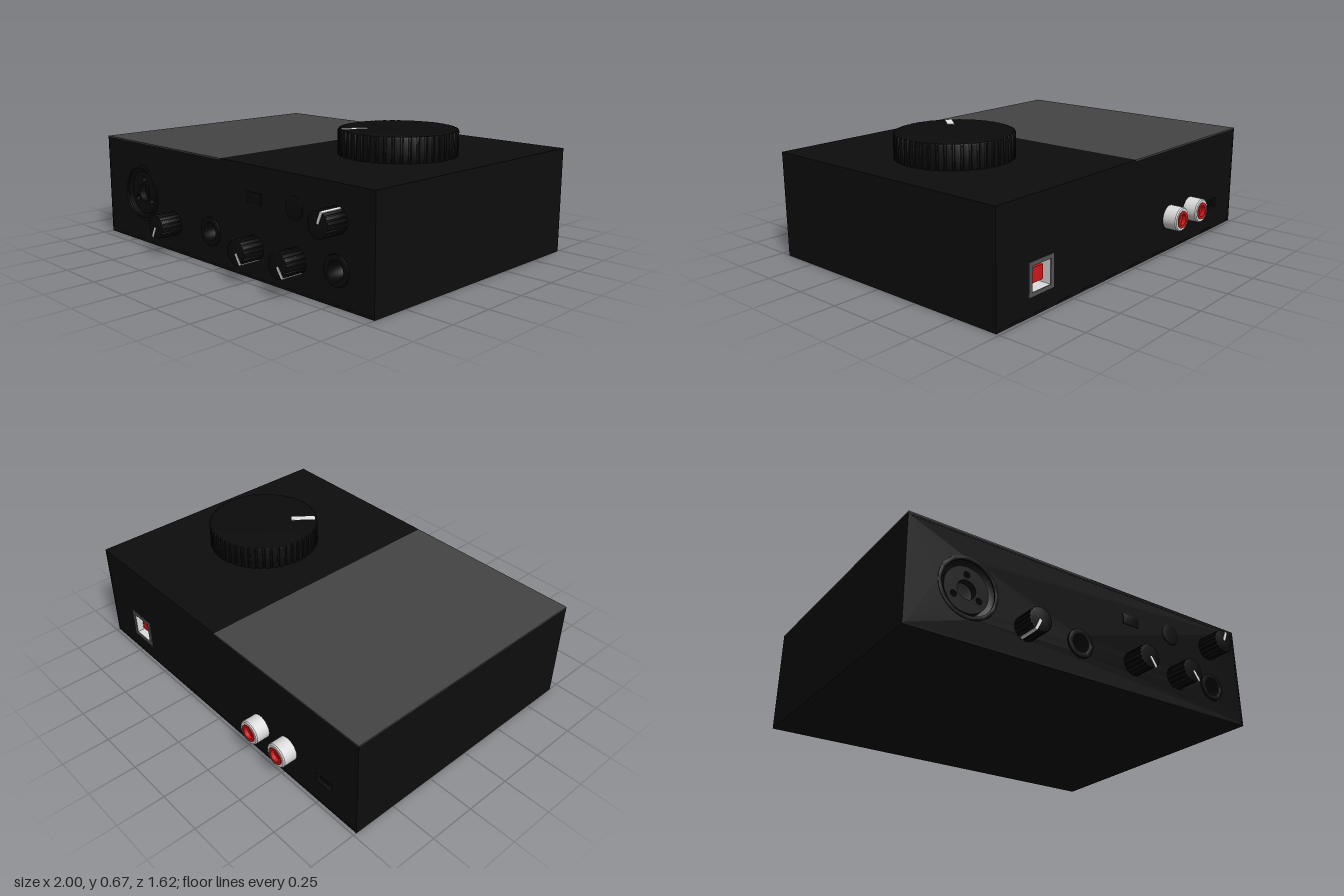
import * as THREE from 'three';
import { toCreasedNormals } from 'three/addons/utils/BufferGeometryUtils.js';

const FRONT = 0.693, BACK = -0.733, TOP = 0.545;

const mat = (name, color, side = THREE.FrontSide) => {
  const m = new THREE.MeshStandardMaterial({ color, side });
  m.name = name;
  return m;
};

function rectPath(Type, x, y, w, h) {
  const p = new Type();
  p.moveTo(x - w / 2, y - h / 2);
  p.lineTo(x + w / 2, y - h / 2);
  p.lineTo(x + w / 2, y + h / 2);
  p.lineTo(x - w / 2, y + h / 2);
  p.closePath();
  return p;
}

function circlePath(Type, x, y, r) {
  const p = new Type();
  p.absarc(x, y, r, 0, Math.PI * 2, false);
  return p;
}

function extrude(shape, depth, holes = [], bevel = 0) {
  shape.holes.push(...holes);
  const g = new THREE.ExtrudeGeometry(shape, {
    depth: depth - bevel, curveSegments: 24, bevelEnabled: bevel > 0,
    bevelThickness: bevel, bevelSize: bevel, bevelOffset: -bevel, bevelSegments: 2,
  });
  return toCreasedNormals(g, 0.6);
}

// Round grip with shallow vertical grooves, running along +z
function gripGeometry(r, ribs, groove, height, bevel) {
  const pts = [];
  for (let i = 0; i < ribs; i++) {
    [[0, r], [0.62, r], [0.7, r - groove], [0.92, r - groove]].forEach(([t, rad]) => {
      const a = ((i + t) / ribs) * Math.PI * 2;
      pts.push(new THREE.Vector2(Math.cos(a) * rad, Math.sin(a) * rad));
    });
  }
  return extrude(new THREE.Shape(pts), height, [], bevel);
}

export function createModel() {
  const black = mat('caseBlack', 0x0d0d0d);
  const knobBlack = mat('knobBlack', 0x0b0b0b);
  const recessBlack = mat('recessBlack', 0x060606, THREE.DoubleSide);
  const grey = mat('lidGrey', 0x444444);
  const white = mat('pointerWhite', 0xe6e6e6);
  const light = mat('connectorWhite', 0xdcdcdc);
  const frameGrey = mat('portFrameGrey', 0x555555);
  const red = mat('connectorRed', 0xd01818);

  const model = new THREE.Group();
  const add = (name, geo, material, x = 0, y = 0, z = 0, parent = model) => {
    const m = new THREE.Mesh(geo, material);
    m.name = name;
    m.position.set(x, y, z);
    parent.add(m);
    return m;
  };
  // Blind hole opening toward +z, or -z when dir is -1
  const cup = (name, x, y, z, r, depth, dir = 1) => {
    const pts = [[0, -depth], [r, -depth], [r, 0]].map(p => new THREE.Vector2(...p));
    const m = add(name, new THREE.LatheGeometry(pts, 32), recessBlack, x, y, z);
    m.rotation.x = dir * Math.PI / 2;
  };

  // Case: open sleeve, two-tone lid, front and back panels
  const lid = 0.006, wall = 0.012, sleeveH = TOP - lid, length = FRONT - BACK;
  const innerH = sleeveH - 2 * wall;
  add('caseSleeve', extrude(rectPath(THREE.Shape, 0, sleeveH / 2, 2, sleeveH), length,
    [rectPath(THREE.Path, 0, sleeveH / 2, 2 - 2 * wall, innerH)]), black, 0, 0, BACK);
  for (const [name, x, m] of [['greyLid', -0.5, grey], ['blackLid', 0.5, black]])
    add(name, new THREE.BoxGeometry(1, lid, length), m, x, TOP - lid / 2, (FRONT + BACK) / 2);

  const jacks = [[-0.08, 0.17], [0.785, 0.165]];
  const mic = [-0.69, 0.267];
  const panel = () => rectPath(THREE.Shape, 0, sleeveH / 2, 2 - 2 * wall, innerH);
  add('frontPanel', extrude(panel(), 0.02, [
    circlePath(THREE.Path, ...mic, 0.15),
    ...jacks.map(j => circlePath(THREE.Path, ...j, 0.045)),
  ]), black, 0, 0, FRONT - 0.021);
  const usb = [0.71, 0.17], power = [-0.78, 0.15];
  add('backPanel', extrude(panel(), 0.02, [
    rectPath(THREE.Path, ...usb, 0.16, 0.15),
    rectPath(THREE.Path, ...power, 0.1, 0.05),
  ]), black, 0, 0, BACK + 0.001);

  // Microphone socket: ring, recessed core and three contact holes
  const [mx, my] = mic;
  cup('micSocketWell', mx, my, FRONT, 0.15, 0.06);
  add('micSocketRing', extrude(circlePath(THREE.Shape, 0, 0, 0.155), 0.008,
    [circlePath(THREE.Path, 0, 0, 0.135)], 0.002), knobBlack, mx, my, FRONT - 0.006);
  const pins = [90, 210, 330].map(d => {
    const a = THREE.MathUtils.degToRad(d);
    return circlePath(THREE.Path, Math.cos(a) * 0.075, Math.sin(a) * 0.075, 0.016);
  });
  add('micSocketCore', extrude(circlePath(THREE.Shape, 0, 0, 0.115), 0.035,
    [circlePath(THREE.Path, 0, 0, 0.048), ...pins]), knobBlack, mx, my, FRONT - 0.055);

  // Round jack sockets
  jacks.forEach(([x, y]) => {
    cup('jackWell', x, y, FRONT, 0.045, 0.1);
    add('jackRing', extrude(circlePath(THREE.Shape, 0, 0, 0.073), 0.012,
      [circlePath(THREE.Path, 0, 0, 0.045)], 0.003), knobBlack, x, y, FRONT - 0.002);
  });

  // Front buttons
  add('slotButton', extrude(rectPath(THREE.Shape, 0, 0, 0.1, 0.055), 0.005, [], 0.002),
    knobBlack, 0.25, 0.39, FRONT - 0.002);
  add('roundButton', extrude(circlePath(THREE.Shape, 0, 0, 0.056), 0.005, [], 0.002),
    knobBlack, 0.52, 0.39, FRONT - 0.002);

  // Front knobs with a white line over the face and down the side
  const knobR = 0.062, knobH = 0.116;
  const knobGeo = gripGeometry(knobR, 18, 0.003, knobH, 0.004);
  [[-0.39, 0.155, -117], [0.25, 0.155, -57], [0.535, 0.155, -55], [0.785, 0.385, 67]]
    .forEach(([x, y, deg]) => {
      const knob = new THREE.Group();
      knob.name = 'knob';
      knob.position.set(x, y, FRONT);
      knob.rotation.z = THREE.MathUtils.degToRad(deg);
      add('knobGrip', knobGeo, knobBlack, 0, 0, 0, knob);
      add('knobLine', new THREE.BoxGeometry(0.058, 0.013, 0.004), white, 0.034, 0, knobH, knob);
      add('knobSideLine', new THREE.BoxGeometry(0.004, 0.013, knobH - 0.005), white,
        knobR, 0, knobH / 2 + 0.003, knob);
      model.add(knob);
    });

  // Large dial on the lid
  const dial = new THREE.Group();
  dial.name = 'dial';
  dial.position.set(0.503, TOP, -0.02);
  const grip = add('dialGrip', gripGeometry(0.296, 48, 0.006, 0.125, 0.008), knobBlack, 0, 0, 0, dial);
  grip.rotation.x = -Math.PI / 2;
  const line = add('dialLine', new THREE.BoxGeometry(0.128, 0.004, 0.036), white,
    -0.135, 0.125, 0.17, dial);
  line.rotation.y = Math.atan2(-0.78, -0.62);
  model.add(dial);

  // Rear audio sockets: white sleeve with a red ringed core
  const profile = pts => new THREE.LatheGeometry(pts.map(p => new THREE.Vector2(...p)), 32);
  const sleeve = toCreasedNormals(profile(
    [[0.063, 0], [0.063, 0.07], [0.058, 0.076], [0.045, 0.076], [0.045, 0.03]]), 0.6);
  const core = toCreasedNormals(profile(
    [[0.045, 0], [0.045, 0.08], [0.03, 0.08], [0.03, 0.06], [0, 0.06]]), 0.6);
  for (const x of [-0.535, -0.335]) {
    const socket = new THREE.Group();
    socket.name = 'audioSocket';
    socket.position.set(x, 0.181, BACK);
    socket.rotation.x = -Math.PI / 2;
    add('socketSleeve', sleeve, light, 0, 0, 0, socket);
    add('socketCore', core, red, 0, 0, 0, socket);
    model.add(socket);
  }

  // Square data port
  const [ux, uy] = usb;
  add('dataPortFrame', extrude(rectPath(THREE.Shape, 0, 0, 0.17, 0.16), 0.006,
    [rectPath(THREE.Path, 0, 0, 0.125, 0.12)]), frameGrey, ux, uy, BACK - 0.003);
  add('dataPortLiner', extrude(rectPath(THREE.Shape, 0, 0, 0.14, 0.135), 0.07,
    [rectPath(THREE.Path, 0, 0, 0.125, 0.12)]), light, ux, uy, BACK + 0.003);
  add('dataPortBack', new THREE.BoxGeometry(0.14, 0.135, 0.01), frameGrey, ux, uy, BACK + 0.07);
  add('dataPortTongue', new THREE.BoxGeometry(0.08, 0.07, 0.045), red, ux, uy, BACK + 0.048);

  // Small power inlet
  add('powerInletBack', new THREE.BoxGeometry(0.12, 0.07, 0.01), recessBlack, ...power, BACK + 0.04);
  add('powerInletPin', new THREE.BoxGeometry(0.06, 0.016, 0.03), knobBlack, ...power, BACK + 0.025);

  return model;
}
